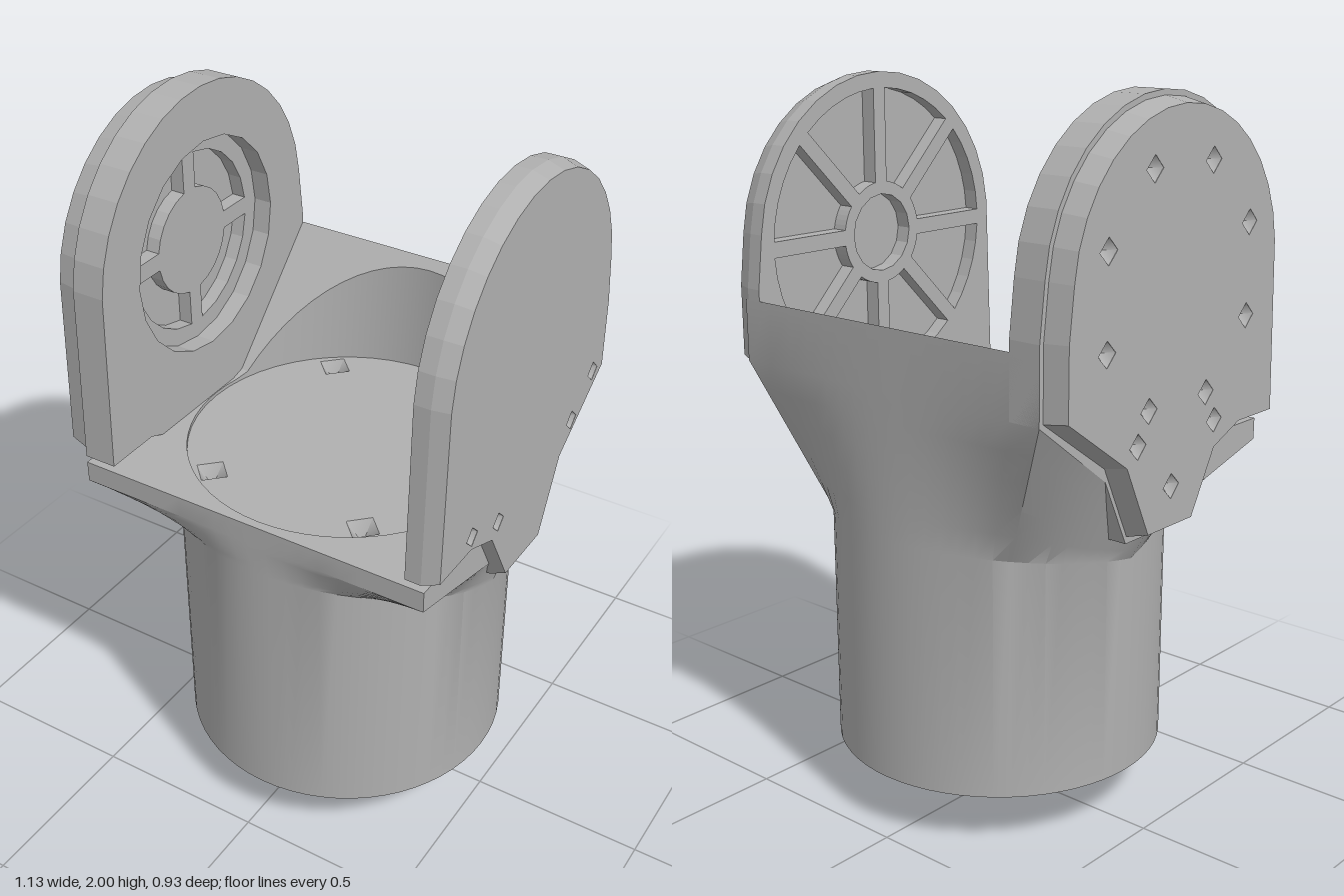
import * as THREE from 'three';
import { toCreasedNormals } from 'three/addons/utils/BufferGeometryUtils.js';

const CX = 0.03; // axis of the cylindrical body
const HUB = 1.55; // height of the fork axis
const V = (x, y) => new THREE.Vector2(x, y);

// outline of a fork cheek: u = -z, v = y
function cheekPoints() {
  const pts = [[0.465, 1.45]];
  for (let i = 0; i <= 16; i++) {
    const a = 0.1 + (i / 16) * (Math.PI - 0.2);
    pts.push([0.45 * Math.cos(a), HUB + 0.45 * Math.sin(a)]);
  }
  pts.push([-0.465, 1.1], [-0.3, 1.1], [-0.18, 1.05], [-0.08, 0.87],
    [0.12, 0.87], [0.22, 1.08], [0.465, 1.25]);
  return pts;
}
const cheekShape = (k = 1) =>
  new THREE.Shape(cheekPoints().map(([u, v]) => V(u * k, 1.5 + (v - 1.5) * k)));

const polygon = (x, y, r, n) => {
  const pts = [];
  for (let i = 0; i < n; i++) {
    const a = (i / n) * Math.PI * 2;
    pts.push(V(x + r * Math.cos(a), y + r * Math.sin(a)));
  }
  return pts;
};
const addHole = (shape, pts) => shape.holes.push(new THREE.Path(pts));

// wedge-shaped pocket between two straight spokes
function sector(a0, a1, rIn, rOut, halfWidth) {
  const pts = [];
  for (const [r, flip] of [[rOut, false], [rIn, true]]) {
    const off = Math.asin(halfWidth / r);
    for (let i = 0; i <= 5; i++) {
      const t = flip ? 1 - i / 5 : i / 5;
      const a = a0 + off + (a1 - a0 - 2 * off) * t;
      pts.push(V(r * Math.cos(a), HUB + r * Math.sin(a)));
    }
  }
  return pts;
}

const extrude = (shape, depth) =>
  new THREE.ExtrudeGeometry(shape, { depth, bevelEnabled: false, curveSegments: 24 });

export function createModel() {
  const model = new THREE.Group();
  const gray = new THREE.MeshStandardMaterial({ color: 0xb0b0b0, side: THREE.DoubleSide });
  gray.name = 'plain gray';

  const add = (name, geometry) => {
    const mesh = new THREE.Mesh(geometry, gray);
    mesh.name = name;
    model.add(mesh);
    return mesh;
  };
  // plate standing across x, from x0 to x1
  const standing = (shape, x0, x1) =>
    extrude(shape, x1 - x0).rotateY(Math.PI / 2).translate(x0, 0, 0);
  // plate lying flat, from y0 to y1
  const lying = (shape, y0, y1) =>
    extrude(shape, y1 - y0).rotateX(-Math.PI / 2).translate(0, y0, 0);
  // small pyramid-shaped dent
  const pit = (x, y, z, normal, r, depth = 0.035) => {
    const mesh = add('screwDent', new THREE.ConeGeometry(r, depth, 4, 1, true));
    const n = new THREE.Vector3(...normal);
    mesh.quaternion.setFromUnitVectors(new THREE.Vector3(0, 1, 0), n.clone().negate());
    mesh.position.set(x, y, z).addScaledVector(n, -depth / 2);
  };

  // body: rings from the bottom rim, up the barrel, through the flare, into the round pocket
  const N = 64;
  const lerp = THREE.MathUtils.lerp;
  const circle = (a, r) => [CX + r * Math.cos(a), r * Math.sin(a)];
  const square = (a) => {
    const c = Math.cos(a), s = Math.sin(a), m = Math.max(Math.abs(c), Math.abs(s));
    return [0.0125 + (0.5175 * c) / m, (0.465 * s) / m];
  };
  const topY = (z) => 1.08 + Math.max(0, -0.12 - z) * 0.985;
  const flareStart = (z) => 0.78 + (z > 0 ? 0.15 : 0.07) * Math.abs(z) / 0.465;
  const flareEnd = (z) => 0.9 + (z > 0 ? 0.12 : 0.35) * Math.abs(z) / 0.465;
  const flat = (r, y) => (a) => { const [x, z] = circle(a, r); return [x, y, z]; };

  const rings = [flat(0.001, 0.22), flat(0.44, 0.22), flat(0.44, 0.16), flat(0.465, 0.16)];
  for (let i = 0; i <= 5; i++) {
    rings.push((a) => {
      const t = i / 5, p = circle(a, 0.465), q = square(a);
      return [lerp(p[0], q[0], t), lerp(flareStart(p[1]), flareEnd(q[1]), t), lerp(p[1], q[1], t)];
    });
  }
  for (let i = 0; i <= 5; i++) {
    rings.push((a) => {
      const t = i / 5, p = square(a), q = circle(a, 0.44);
      const z = lerp(p[1], q[1], t);
      return [lerp(p[0], q[0], t), topY(z), z];
    });
  }
  rings.push(flat(0.44, 1.0), flat(0.001, 1.0));

  const position = [], index = [];
  rings.forEach((ring, j) => {
    for (let i = 0; i < N; i++) {
      position.push(...ring((i / N) * Math.PI * 2));
      if (j === 0) continue;
      const k = (i + 1) % N, lo = (j - 1) * N, hi = j * N;
      index.push(lo + i, hi + i, lo + k, lo + k, hi + i, hi + k);
    }
  });
  const bodyGeo = new THREE.BufferGeometry();
  bodyGeo.setAttribute('position', new THREE.Float32BufferAttribute(position, 3));
  bodyGeo.setIndex(index);
  add('body', toCreasedNormals(bodyGeo, 0.45));

  // pocket floor with four screw dents
  const floor = new THREE.Shape(polygon(CX, 0, 0.44, 48));
  for (const sx of [-1, 1]) for (const sz of [-1, 1]) {
    const x = CX + 0.235 * sx, z = 0.31 * sz;
    addHole(floor, polygon(x, -z, 0.05, 4));
    pit(x, 1.07, z, [0, 1, 0], 0.05, 0.05);
  }
  add('pocketFloor', lying(floor, 1.01, 1.07));

  // underside flange with dents
  const flange = new THREE.Shape(polygon(CX, 0, 0.44, 48));
  for (let i = 0; i < 8; i++) {
    const a = ((i + 0.5) / 8) * Math.PI * 2;
    const x = CX + 0.385 * Math.cos(a), z = 0.385 * Math.sin(a);
    addHole(flange, polygon(x, -z, 0.03, 4));
    pit(x, 0.175, z, [0, -1, 0], 0.03);
  }
  add('undersideFlange', lying(flange, 0.175, 0.215));

  // mounting boss with hexagonal bore and pins
  const boss = new THREE.Shape(polygon(CX, 0, 0.325, 40));
  addHole(boss, polygon(CX, 0, 0.07, 6));
  add('mountingBoss', toCreasedNormals(lying(boss, 0.09, 0.18), 0.4));
  const pin = (x, z, r, h) =>
    add('pin', new THREE.ConeGeometry(r, h, 4).rotateX(Math.PI).translate(x, 0.09 - h / 2, z));
  for (const [px, pz] of [[0.26, 0.075], [0.075, 0.265]])
    for (const sx of [-1, 1]) for (const sz of [-1, 1])
      pin(CX + px * sx, pz * sz, 0.014, 0.03);
  pin(0.225, 0.09, 0.025, 0.09);

  // outer skin of a cheek: tapers toward its outer face and carries dents
  const skin = (name, x0, x1, outerX, scale, dents) => {
    const k = 0.97, sign = Math.sign(outerX);
    const shape = cheekShape(scale);
    for (const [u, v, r] of dents) {
      addHole(shape, polygon(u, v, r, 4));
      pit(outerX, 1.5 + (v - 1.5) * k, -u * k, [sign, 0, 0], r);
    }
    const geo = standing(shape, x0, x1);
    const p = geo.attributes.position;
    for (let i = 0; i < p.count; i++) {
      if (Math.abs(p.getX(i) - outerX) > 0.001) continue;
      p.setY(i, 1.5 + (p.getY(i) - 1.5) * k);
      p.setZ(i, p.getZ(i) * k);
    }
    geo.computeVertexNormals();
    add(name, geo);
  };

  // left cheek: plain skin outside, spoked web inside
  skin('leftCheekSkin', 0.52, 0.565, 0.565, 1,
    [[-0.3, 1.14, 0.03], [-0.15, 1.09, 0.03], [0.28, 1.165, 0.03], [0.4, 1.26, 0.03]]);
  const web = cheekShape();
  addHole(web, polygon(0, HUB, 0.11, 16));
  for (let i = 0; i < 8; i++)
    addHole(web, sector((i * Math.PI) / 4, ((i + 1) * Math.PI) / 4, 0.145, 0.405, 0.022));
  add('leftCheekWeb', standing(web, 0.475, 0.52));

  // right cheek: bored plate, inner step and a screwed cover
  const bored = cheekShape();
  addHole(bored, polygon(0, HUB, 0.3, 20));
  add('rightCheek', standing(bored, -0.505, -0.412));
  const step = new THREE.Shape(polygon(0, HUB, 0.3, 20));
  for (let i = 0; i < 4; i++)
    addHole(step, sector((i * Math.PI) / 2, ((i + 1) * Math.PI) / 2, 0.15, 0.25, 0.025));
  add('rightBoreStep', standing(step, -0.505, -0.465));
  const coverDents = [[-0.17, 1.14, 0.035], [0.17, 1.14, 0.035], [0.02, 1.0, 0.035]];
  for (let i = 0; i < 8; i++) {
    const a = ((i + 0.5) / 8) * Math.PI * 2;
    coverDents.push([0.33 * Math.cos(a), HUB - 0.02 + 0.33 * Math.sin(a), 0.035]);
  }
  skin('rightCover', -0.57, -0.505, -0.57, 0.97, coverDents);

  return model;
}
